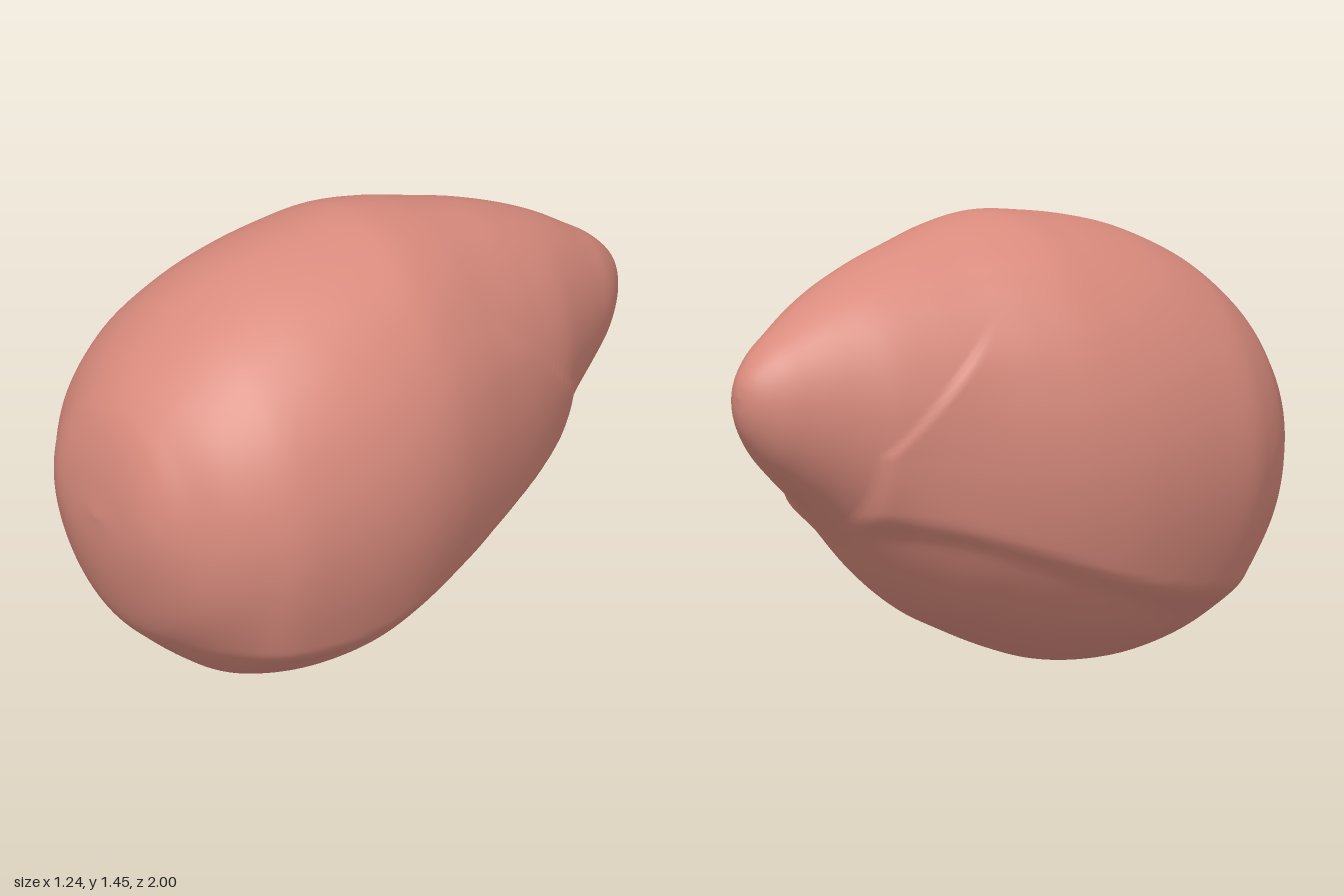
import * as THREE from 'three';

// Stations from front to back: z, bottom y, top y, half width
const STATIONS = [
  [1.0, 0.68, 0.68, 0], [0.98, 0.54, 0.86, 0.2], [0.94, 0.4, 0.99, 0.3], [0.88, 0.27, 1.08, 0.38],
  [0.8, 0.19, 1.16, 0.47], [0.7, 0.11, 1.24, 0.54], [0.6, 0.05, 1.3, 0.585], [0.45, 0.01, 1.365, 0.61],
  [0.3, 0.0, 1.405, 0.62], [0.15, 0.015, 1.43, 0.612], [0, 0.06, 1.445, 0.58], [-0.15, 0.12, 1.425, 0.525],
  [-0.3, 0.19, 1.385, 0.46], [-0.45, 0.3, 1.34, 0.395], [-0.6, 0.45, 1.28, 0.325], [-0.72, 0.56, 1.22, 0.25],
  [-0.82, 0.645, 1.155, 0.19], [-0.9, 0.72, 1.1, 0.14], [-0.96, 0.8, 1.04, 0.085], [-0.99, 0.87, 0.99, 0.04],
  [-1.0, 0.94, 0.94, 0],
];
const smooth = THREE.MathUtils.smoothstep;

// Height of the crease that runs along each flank
function creaseY(z) {
  return 0.27 + 0.26 * smooth(-z, -0.45, 0.6);
}

// Outward swelling of the flank above the crease and in front of the curved ear-like edge
function flankSwell(y, z) {
  const d = y - creaseY(z);
  const under = THREE.MathUtils.lerp(0.035, 0.08, smooth(z, 0.1, 0.6));
  const fall = d > 0 ? Math.exp(-d / 0.17) : Math.exp(-((d / under) ** 2));
  const along = smooth(z, -0.66, -0.6) * (1 - smooth(z, 0.55, 0.88));
  const crease = THREE.MathUtils.lerp(0.03, 0.055, smooth(z, -0.1, 0.5)) * fall * along;

  const edge = -0.64 + 0.9 * Math.max(0, y - 0.75);
  const behind = smooth(z, edge - 0.015, edge + 0.015);
  const ear = 0.022 * behind * Math.exp(-Math.max(0, z - edge) / 0.2)
    * smooth(d, -0.02, 0.03) * (1 - smooth(y, 0.98, 1.18));
  return crease + ear;
}

// Closed egg-shaped loft with shared seam vertices
function buildBody(rings, sides) {
  const profile = new THREE.CatmullRomCurve3(
    STATIONS.map(([z, b, t]) => new THREE.Vector3(z, b, t)), false, 'catmullrom', 0.5);
  const widths = new THREE.CatmullRomCurve3(
    STATIONS.map(([z, , , w]) => new THREE.Vector3(w, z, 0)), false, 'catmullrom', 0.5);
  const positions = [];
  const index = [];
  for (let j = 0; j <= rings; j++) {
    const { x: z, y: bottom, z: top } = profile.getPoint(j / rings);
    const w = Math.max(0, widths.getPoint(j / rings).x);
    const mid = (bottom + top) / 2;
    const half = (top - bottom) / 2;
    for (let i = 0; i < sides; i++) {
      const a = (i / sides) * Math.PI * 2;
      const c = Math.cos(a);
      const y = mid + half * Math.sin(a);
      const side = Math.sign(c) * Math.min(1, Math.abs(c) * 2.2) * smooth(w, 0, 0.25);
      // The swelling is mostly kept inside the widest outline
      const swell = flankSwell(y, z);
      positions.push(w * c + side * swell * (1 - 0.55 * Math.abs(c) ** 6), y, z);
    }
  }
  for (let j = 0; j < rings; j++) {
    for (let i = 0; i < sides; i++) {
      const n = (i + 1) % sides;
      const a = j * sides + i, b = j * sides + n;
      const c = a + sides, d = b + sides;
      if (j < rings - 1) index.push(a, c, d);
      if (j > 0) index.push(a, d, b);
    }
  }
  // Collapse each end ring to a single pole vertex
  const poles = [0, rings * sides];
  const shared = index.map((k) => (k < sides ? poles[0] : k >= poles[1] ? poles[1] : k));
  const geometry = new THREE.BufferGeometry();
  geometry.setAttribute('position', new THREE.Float32BufferAttribute(positions, 3));
  geometry.setIndex(shared);
  geometry.computeVertexNormals();
  return geometry;
}

export function createModel() {
  const group = new THREE.Group();
  group.name = 'creasedEgg';
  const skin = new THREE.MeshStandardMaterial({ color: 0xd98b7d });
  skin.name = 'salmon pink';
  const body = new THREE.Mesh(buildBody(180, 180), skin);
  body.name = 'body';
  group.add(body);
  return group;
}
